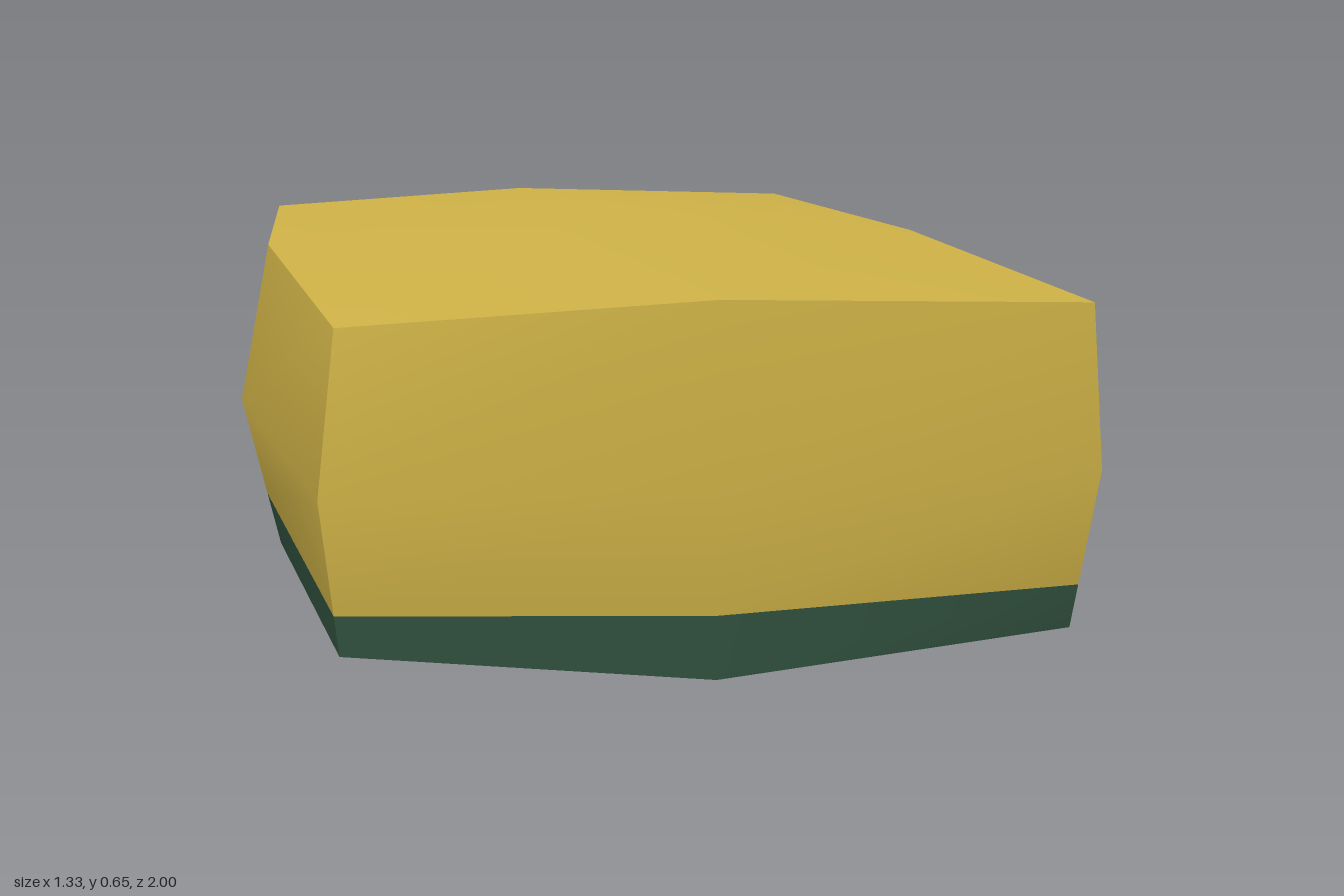
import * as THREE from 'three';

const ochre = new THREE.MeshStandardMaterial({ name: 'ochre', color: 0xd2b548 });
const darkGreen = new THREE.MeshStandardMaterial({ name: 'darkGreen', color: 0x345643 });

// Horizontal rings of eight points, from the front right corner counterclockwise seen from above
const bottomRing = [
  [-0.555, 0.085, 0.92], [0, 0.04, 0.99], [0.585, 0.07, 0.915], [0.637, 0.035, 0],
  [0.585, 0.08, -0.9], [0, 0.04, -0.98], [-0.56, 0.08, -0.9], [-0.6, 0.035, 0],
];
const middleRing = [
  [-0.585, 0.33, 0.96], [0, 0.33, 1], [0.61, 0.33, 0.96], [0.662, 0.31, 0],
  [0.61, 0.33, -0.94], [0, 0.33, -1], [-0.585, 0.33, -0.94], [-0.665, 0.31, 0],
];
const topRing = [
  [-0.555, 0.577, 0.93], [0, 0.612, 0.988], [0.602, 0.585, 0.927], [0.612, 0.598, 0],
  [0.575, 0.59, -0.88], [0, 0.603, -0.984], [-0.55, 0.58, -0.9], [-0.61, 0.595, 0],
];

// Height of the colour line at each ring point
const lineHeights = [0.15, 0.14, 0.142, 0.127, 0.16, 0.14, 0.15, 0.13];
const lineRing = bottomRing.map((b, i) => {
  const m = middleRing[i];
  const t = (lineHeights[i] - b[1]) / (m[1] - b[1]);
  return b.map((v, k) => v + (m[k] - v) * t);
});

// Smooth patch from rows of points; the first greenRows strips use the green material
function patch(name, rows, greenRows) {
  const columns = rows[0].length;
  const strips = rows.length - 1;
  const perStrip = (columns - 1) * 6;
  const index = [];
  for (let r = 0; r < strips; r++) {
    for (let c = 0; c < columns - 1; c++) {
      const a = r * columns + c;
      const d = a + columns;
      index.push(a, a + 1, d + 1, a, d + 1, d);
    }
  }
  const geometry = new THREE.BufferGeometry();
  geometry.setAttribute('position', new THREE.Float32BufferAttribute(rows.flat(2), 3));
  geometry.setIndex(index);
  geometry.computeVertexNormals();
  if (greenRows > 0) geometry.addGroup(0, greenRows * perStrip, 0);
  if (greenRows < strips) geometry.addGroup(greenRows * perStrip, (strips - greenRows) * perStrip, 1);
  const mesh = new THREE.Mesh(geometry, [darkGreen, ochre]);
  mesh.name = name;
  return mesh;
}

export function createModel() {
  const group = new THREE.Group();
  group.name = 'bulgedBlock';

  // Four bulging sides, each with a green foot
  ['frontSide', 'leftSide', 'backSide', 'rightSide'].forEach((name, s) => {
    const rows = [bottomRing, lineRing, middleRing, topRing].map(
      (ring) => [0, 1, 2].map((c) => ring[(s * 2 + c) % 8]));
    group.add(patch(name, rows, 1));
  });

  // Domed top and underside
  const t = topRing;
  group.add(patch('top', [
    [t[0], t[1], t[2]], [t[7], [0.01, 0.655, 0], t[3]], [t[6], t[5], t[4]],
  ], 0));
  const b = bottomRing;
  group.add(patch('underside', [
    [b[6], b[5], b[4]], [b[7], [0.01, 0, 0], b[3]], [b[0], b[1], b[2]],
  ], 2));

  return group;
}
